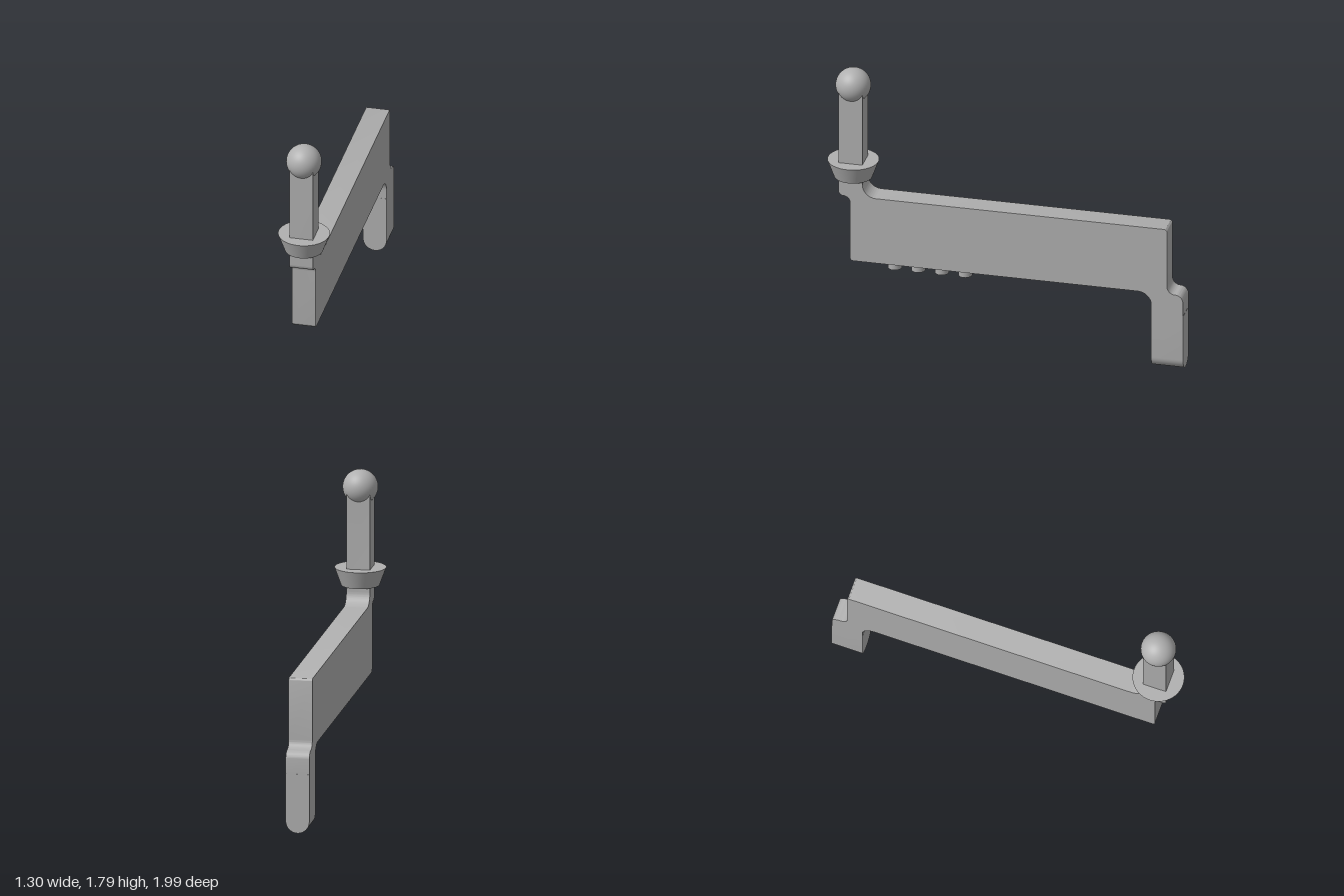
import * as THREE from 'three';
import { toCreasedNormals } from 'three/addons/utils/BufferGeometryUtils.js';

export function createModel() {
  const grey = new THREE.MeshStandardMaterial({ color: 0xb0b0b0 });
  grey.name = 'grey';
  const model = new THREE.Group();
  model.name = 'crankArm';

  // All parts are laid out along local x, then turned about the y axis.
  const arm = new THREE.Group();
  arm.name = 'arm';
  arm.rotation.y = THREE.MathUtils.degToRad(59);
  model.add(arm);

  const THICK = 0.147, MID = 0.009, POST = -0.973;
  const add = (name, geometry, x, y, z = MID) => {
    const mesh = new THREE.Mesh(geometry, grey);
    mesh.name = name;
    mesh.position.set(x, y, z);
    arm.add(mesh);
    return mesh;
  };
  const extrude = (shape, depth) => {
    const g = new THREE.ExtrudeGeometry(shape, { depth, bevelEnabled: false, curveSegments: 12 });
    g.translate(0, 0, -depth / 2);
    return toCreasedNormals(g, 0.6);
  };

  // Plate with upright post, rounded shoulders and stepped leg
  const s = new THREE.Shape();
  const P = Math.PI;
  s.moveTo(-0.955, 0.513);
  s.lineTo(0.837, 0.513);
  s.absarc(0.837, 0.428, 0.085, P / 2, 0, true);
  s.lineTo(0.922, 0.37);
  s.lineTo(1.121, 0.37);
  s.lineTo(1.121, 0.463);
  s.absarc(1.071, 0.463, 0.05, 0, P / 2, false);
  s.absarc(1.071, 0.563, 0.05, 1.5 * P, P, true);
  s.lineTo(1.021, 0.932);
  s.absarc(1.001, 0.932, 0.02, 0, P / 2, false);
  s.lineTo(-0.813, 0.952);
  s.absarc(-0.813, 1.037, 0.085, 1.5 * P, P, true);
  s.lineTo(-0.898, 1.68);
  s.lineTo(-1.048, 1.68);
  s.lineTo(-1.048, 0.98);
  s.absarc(-1.018, 0.98, 0.03, P, 1.5 * P, false);
  s.absarc(-1.018, 0.907, 0.043, P / 2, 0, true);
  s.lineTo(-0.975, 0.533);
  s.absarc(-0.955, 0.533, 0.02, P, 1.5 * P, false);
  add('plateAndPost', extrude(s, THICK), 0, 0);

  // Lower leg with a half-round foot
  const r = THICK / 2;
  const foot = new THREE.Shape();
  foot.moveTo(r, 0.372);
  foot.lineTo(-r, 0.372);
  foot.lineTo(-r, r);
  foot.absarc(0, r, r, P, 2 * P, false);
  foot.lineTo(r, 0.372);
  add('lowerLeg', extrude(foot, 0.201), 1.0215, 0).rotation.y = P / 2;

  // Ball on the post
  add('ball', new THREE.SphereGeometry(0.109, 40, 28), POST, 1.677);

  // Flared collar, open underneath
  add('collar', new THREE.CylinderGeometry(0.159, 0.118, 0.112, 48, 1, true), POST, 1.115);
  add('collarTop', new THREE.CircleGeometry(0.159, 48), POST, 1.171).rotation.x = -P / 2;

  // Row of pegs under the plate
  for (let i = 0; i < 4; i++) {
    add('peg', new THREE.CylinderGeometry(0.043, 0.043, 0.06, 28), -0.711 + i * 0.148, 0.493);
  }
  return model;
}
